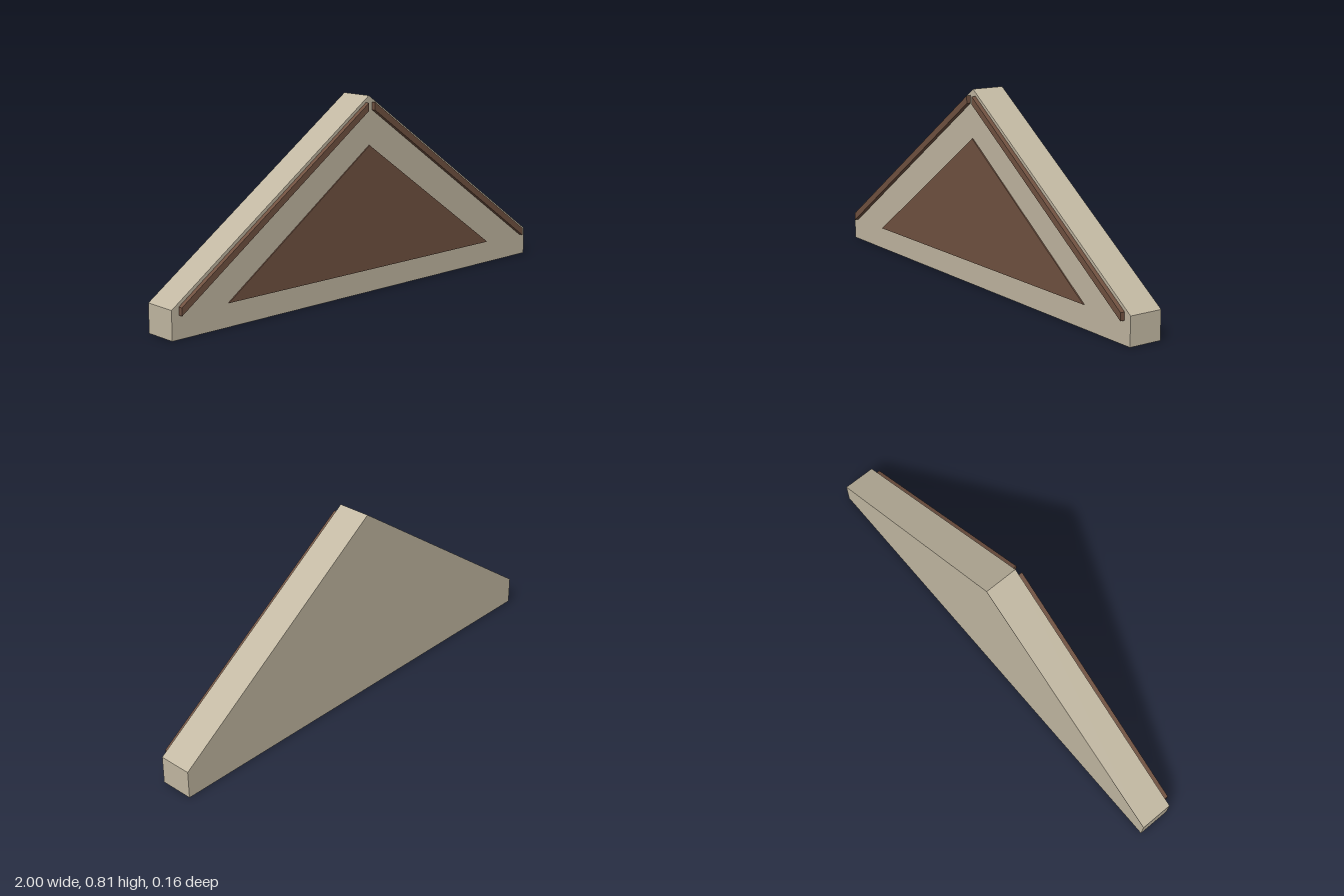
import * as THREE from 'three';

const FRONT = 0.062; // front plane of the gable body

// Extrudes an outline in the xy plane from z0 to z1.
function slab(name, points, z0, z1, material) {
  const shape = new THREE.Shape(points.map(([x, y]) => new THREE.Vector2(x, y)));
  const geometry = new THREE.ExtrudeGeometry(shape, { depth: z1 - z0, bevelEnabled: false });
  geometry.translate(0, 0, z0);
  const mesh = new THREE.Mesh(geometry, material);
  mesh.name = name;
  return mesh;
}

export function createModel() {
  const stone = new THREE.MeshStandardMaterial({ name: 'beige stone', color: 0xc2b8a2 });
  const brown = new THREE.MeshStandardMaterial({ name: 'brown trim', color: 0x715241 });
  const model = new THREE.Group();
  model.name = 'gable';

  // Five-sided gable body
  model.add(slab('gableBody',
    [[-1, 0], [1, 0], [1, 0.117], [0, 0.815], [-1, 0.117]], -0.081, FRONT, stone));

  // Thin triangular panel
  model.add(slab('trianglePanel',
    [[-0.738, 0.095], [0.738, 0.095], [0, 0.613]], FRONT, FRONT + 0.005, brown));

  // Raised strips along both slopes, with upright ends
  for (const [side, name] of [[1, 'leftSlopeTrim'], [-1, 'rightSlopeTrim']]) {
    const outline = [[0.017, 0.756], [0.967, 0.092], [0.967, 0.124], [0.017, 0.788]];
    model.add(slab(name, outline.map(([x, y]) => [side * x, y]), FRONT, 0.081, brown));
  }
  return model;
}
